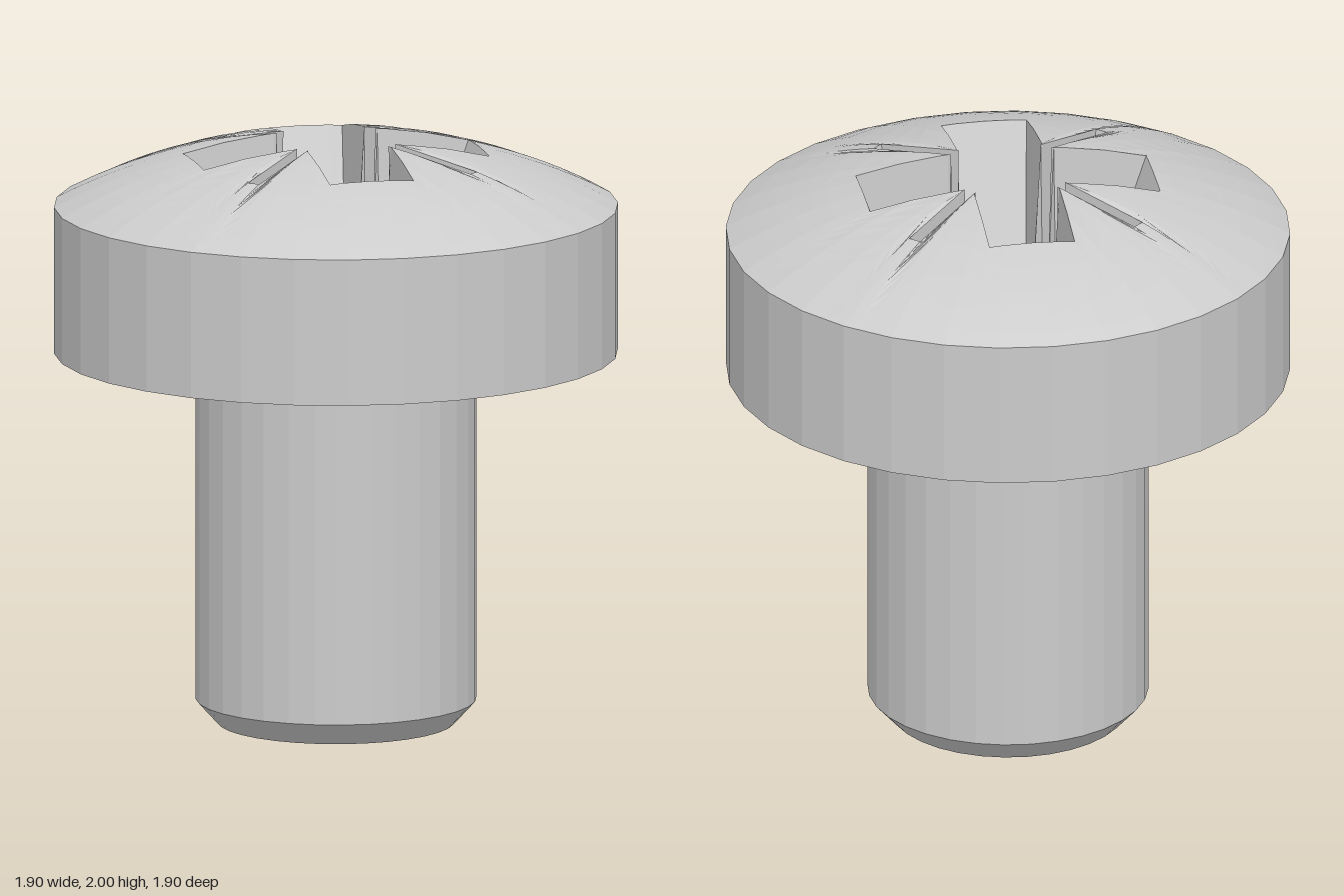
import * as THREE from 'three';

const SIDES = 32, STEP = (2 * Math.PI) / SIDES;
const RIM = 0.95, RIM_Y = 1.77, FLOOR = 1.47, SLIT_Y = 1.72, CONE_Y = 1.36;
const material = new THREE.MeshStandardMaterial({ color: 0xcccccc, flatShading: true });
const V = (x, y, z) => new THREE.Vector3(x, y, z);

// ratio of the 32-sided rim to its circle at angle a
function facet(a) {
  const off = a - STEP * (Math.floor(a / STEP) + 0.5);
  return Math.cos(STEP / 2) / Math.cos(off);
}

// point on the spherical dome (radius 2) above x, z
function onDome(x, z) {
  const r = Math.hypot(x, z) / facet(Math.atan2(z, x));
  return V(x, RIM_Y + Math.sqrt(4 - r * r) - Math.sqrt(4 - RIM * RIM), z);
}

// upward or inward facing band between two rows of points
function strip(out, inner, outer, closed = false) {
  const n = inner.length;
  for (let i = 0; i < (closed ? n : n - 1); i++) {
    const j = (i + 1) % n;
    out.push(inner[i], inner[j], outer[j], inner[i], outer[j], outer[i]);
  }
}

function toMesh(points, name) {
  const geometry = new THREE.BufferGeometry().setFromPoints(points);
  geometry.computeVertexNormals();
  const mesh = new THREE.Mesh(geometry, material);
  mesh.name = name;
  return mesh;
}

function lathe(profile, name) {
  const points = profile.map(([r, y]) => new THREE.Vector2(r, y));
  const mesh = new THREE.Mesh(new THREE.LatheGeometry(points, SIDES), material);
  mesh.name = name;
  return mesh;
}

// position in a frame turned 45 degrees: u outward, w sideways
const diagonal = (u, w) => [(u + w) * Math.SQRT1_2, (u - w) * Math.SQRT1_2];

// corners of the cross recess: upper x, z and lower x, z, y
function recessCorners() {
  const half = [
    [[0.495, 0.145], [0.33, 0.115], FLOOR],
    [[0.18, 0.145], [0.182, 0.115], FLOOR],
    [diagonal(0.22, 0.022), diagonal(0.215, 0.011), FLOOR],
    [diagonal(0.54, 0.022), diagonal(0.485, 0.011), SLIT_Y],
  ];
  const swap = ([x, z]) => [z, x];
  const quarter = [...half, ...half.map(([t, b, y]) => [swap(t), swap(b), y]).reverse()];
  const corners = [];
  for (let q = 0; q < 4; q++) {
    const c = Math.round(Math.cos(q * Math.PI / 2)), s = Math.round(Math.sin(q * Math.PI / 2));
    const turn = ([x, z]) => [x * c - z * s, x * s + z * c];
    for (const [t, b, y] of quarter) {
      const [tx, tz] = turn(t), [bx, bz] = turn(b);
      corners.push({ top: V(tx, 0, tz), bottom: V(bx, y, bz) });
    }
  }
  return corners;
}

// outline with extra points wherever a dome facet edge crosses it
function recessOutline(corners) {
  const top = [], bottom = [];
  corners.forEach((a, i) => {
    const b = corners[(i + 1) % corners.length];
    const a0 = Math.atan2(a.top.z, a.top.x);
    let a1 = Math.atan2(b.top.z, b.top.x);
    if (a1 < a0) a1 += 2 * Math.PI;
    const fractions = [0];
    for (let k = Math.ceil(a0 / STEP + 1e-6); k * STEP < a1 - 1e-6; k++) {
      const dx = Math.cos(k * STEP), dz = Math.sin(k * STEP);
      const side = (p) => dx * p.z - dz * p.x;
      fractions.push(side(a.top) / (side(a.top) - side(b.top)));
    }
    for (const s of fractions) {
      const p = a.top.clone().lerp(b.top, s);
      top.push(onDome(p.x, p.z));
      bottom.push(a.bottom.clone().lerp(b.bottom, s));
    }
  });
  return { top, bottom };
}

export function createModel() {
  const group = new THREE.Group();
  group.name = 'panHeadScrew';

  // shank with chamfered tip and a small fillet below the head
  const shank = [[0, 0], [0.4, 0], [0.473, 0.08], [0.473, 1.235]];
  for (let i = 1; i <= 4; i++) {
    const a = (i / 4) * Math.PI / 2;
    shank.push([0.508 - 0.035 * Math.cos(a), 1.235 + 0.035 * Math.sin(a)]);
  }
  group.add(lathe(shank, 'shank'));

  // underside and side of the head
  group.add(lathe([[0.508, 1.27], [RIM, 1.27], [RIM, RIM_Y]], 'headRim'));

  // dome from the recess outline out to the rim
  const corners = recessCorners();
  const { top, bottom } = recessOutline(corners);
  const RINGS = 8, dome = [];
  const ring = (t) => top.map((p) => {
    const a = Math.atan2(p.z, p.x);
    const r = THREE.MathUtils.lerp(Math.hypot(p.x, p.z), RIM * facet(a), t);
    return onDome(r * Math.cos(a), r * Math.sin(a));
  });
  for (let i = 0; i < RINGS; i++) strip(dome, ring(i / RINGS), ring((i + 1) / RINGS), true);
  group.add(toMesh(dome, 'headDome'));

  // tapered walls of the cross and its diagonal slits
  const walls = [];
  strip(walls, bottom, top, true);
  group.add(toMesh(walls, 'recessWalls'));

  // floors of the arms and slits, and the drilled cone in the middle
  const floor = [], circle = [];
  for (let q = 0; q < 4; q++) {
    const [, , mouthA, tipA, tipB, mouthB] = corners.slice(q * 8, q * 8 + 8).map((c) => c.bottom);
    strip(floor, [mouthA, mouthB], [tipA, tipB]);
    const axis = V(0, 1, 0), arc = [], end = [];
    for (const z of [-0.115, -0.06, 0, 0.06, 0.115]) {
      arc.push(V(Math.sqrt(0.0463 - z * z), FLOOR, z).applyAxisAngle(axis, -q * Math.PI / 2));
      end.push(V(0.33, FLOOR, z).applyAxisAngle(axis, -q * Math.PI / 2));
    }
    strip(floor, arc, end);
    circle.push(...arc, mouthA, mouthB);
  }
  group.add(toMesh(floor, 'recessFloor'));

  const cone = [];
  circle.forEach((p, i) => cone.push(V(0, CONE_Y, 0), circle[(i + 1) % circle.length], p));
  group.add(toMesh(cone, 'recessCone'));

  return group;
}
